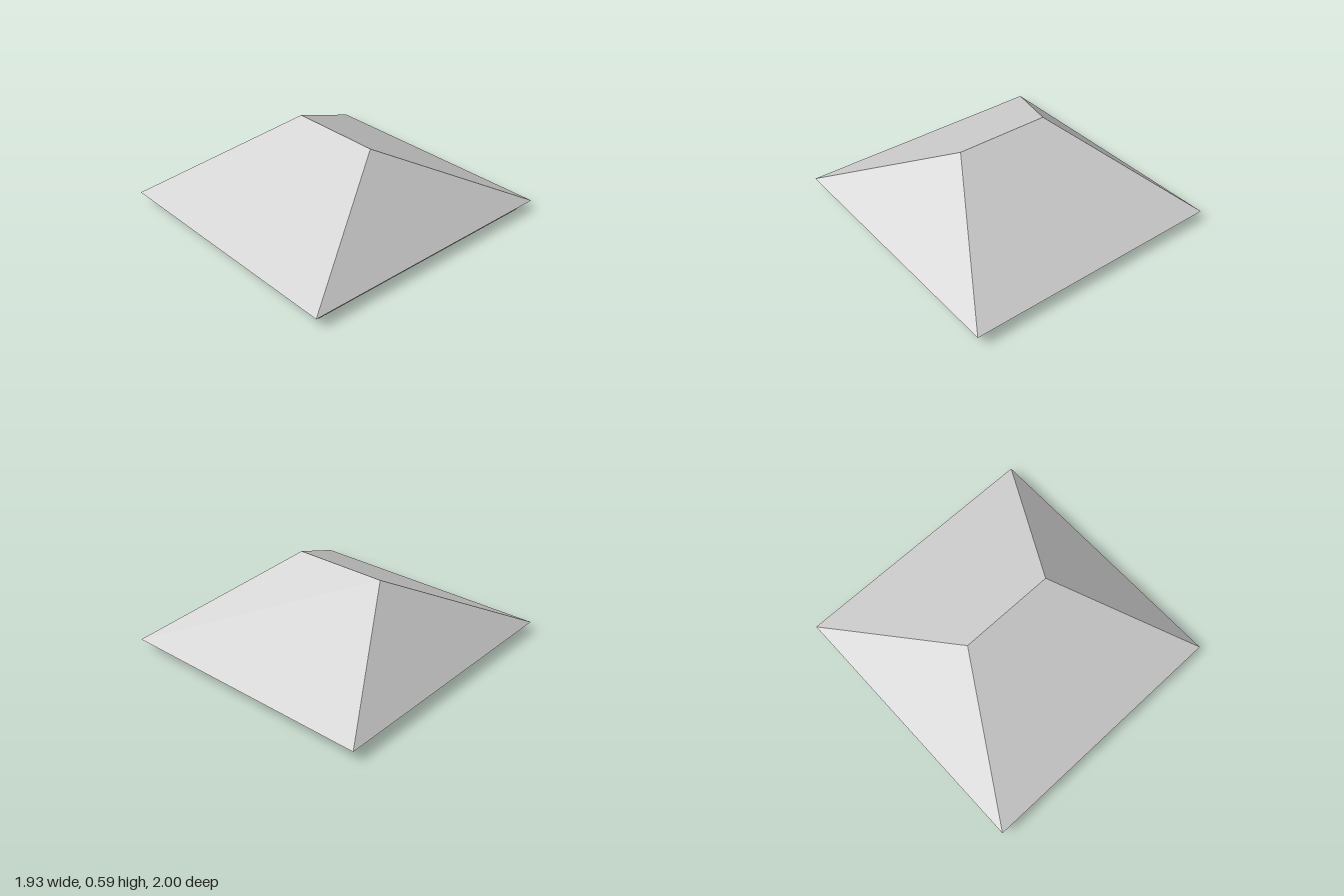
import * as THREE from 'three';
import { ConvexGeometry } from 'three/addons/geometries/ConvexGeometry.js';
import { RoundedBoxGeometry } from 'three/addons/geometries/RoundedBoxGeometry.js';

const EAVE_Y = 0.073, RIDGE_Y = 0.587;
const HALF_W = 0.967, HALF_D = 1, HALF_RIDGE = 0.355;
const BEAM = 0.045, BEAM_X = 0.905, BEAM_Z = 0.928;

export function createModel() {
  const model = new THREE.Group();
  model.name = 'hipRoof';
  const grey = new THREE.MeshStandardMaterial({ color: 0xd0d0d0 });
  grey.name = 'lightGrey';

  const add = (name, geometry, x = 0, y = 0, z = 0) => {
    const mesh = new THREE.Mesh(geometry, grey);
    mesh.name = name;
    mesh.position.set(x, y, z);
    model.add(mesh);
  };

  // Hipped roof: four eave corners and a short ridge along x, flat underside
  const points = [];
  for (const sx of [-1, 1]) {
    for (const sz of [-1, 1]) points.push(new THREE.Vector3(sx * HALF_W, EAVE_Y, sz * HALF_D));
    points.push(new THREE.Vector3(sx * HALF_RIDGE, RIDGE_Y, 0));
  }
  add('roof', new ConvexGeometry(points));

  // Ring of wall beams under the eaves, with slightly eased edges
  const beam = (w, d) => new RoundedBoxGeometry(w, EAVE_Y, d, 1, 0.005);
  for (const s of [-1, 1]) {
    add(s > 0 ? 'frontBeam' : 'backBeam', beam(2 * BEAM_X, BEAM),
      0, EAVE_Y / 2, s * (BEAM_Z - BEAM / 2));
    add(s > 0 ? 'leftBeam' : 'rightBeam', beam(BEAM, 2 * (BEAM_Z - BEAM)),
      s * (BEAM_X - BEAM / 2), EAVE_Y / 2, 0);
  }
  return model;
}
